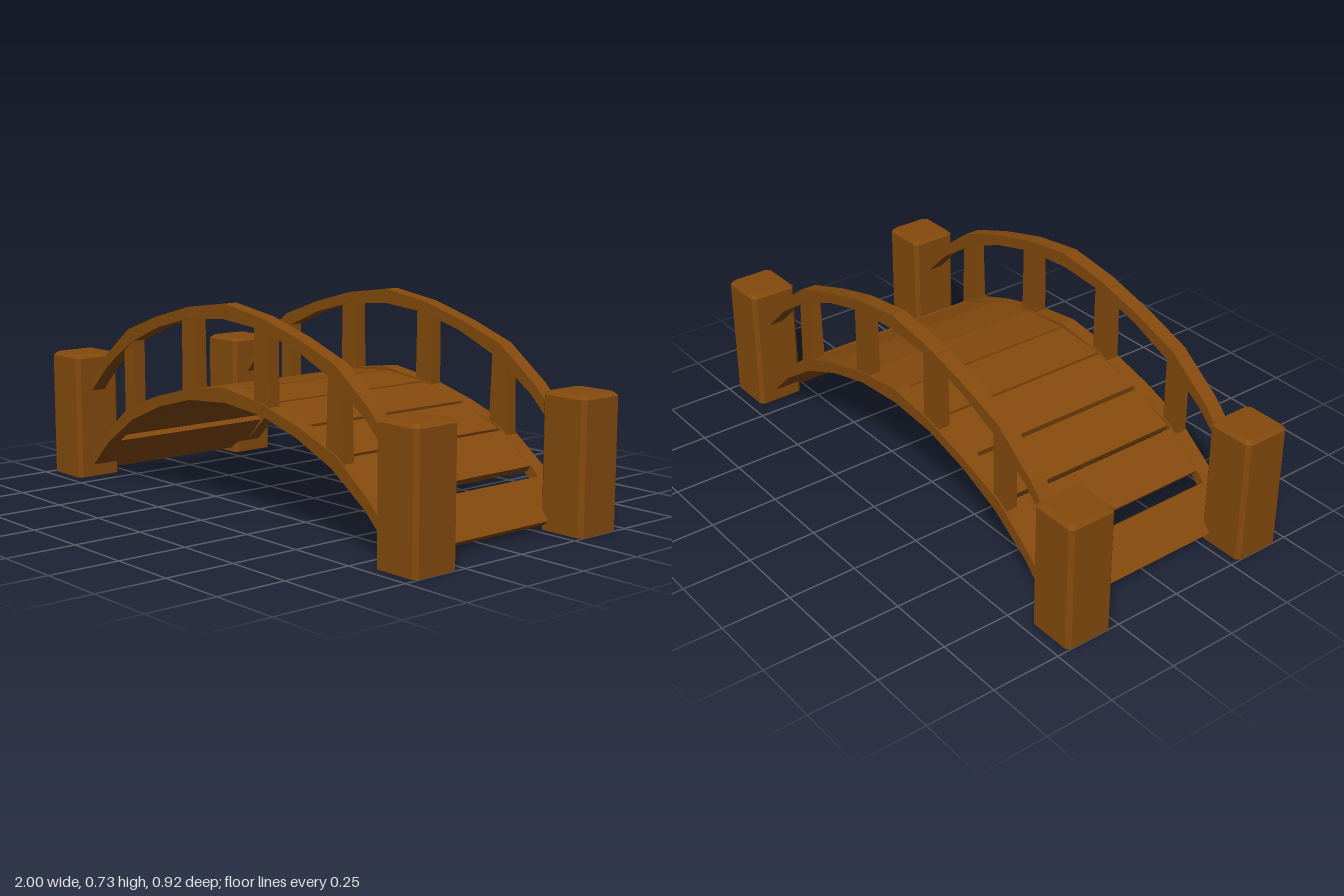
import * as THREE from 'three';
import { ConvexGeometry } from 'three/addons/geometries/ConvexGeometry.js';

const wood = new THREE.MeshStandardMaterial({ color: 0x854a0d });
wood.name = 'brown wood';

// Prism from an x-y outline, spanning z0 to z1
function prism(name, outline, z0, z1) {
  const shape = new THREE.Shape(outline.map(([x, y]) => new THREE.Vector2(x, y)));
  const geo = new THREE.ExtrudeGeometry(shape, { depth: z1 - z0, bevelEnabled: false });
  geo.translate(0, 0, z0);
  const mesh = new THREE.Mesh(geo, wood);
  mesh.name = name;
  return mesh;
}

// Square post with chamfered upright edges and top
function post(x, z) {
  const points = [];
  for (const [y, half] of [[0, 0.09], [0.453, 0.09], [0.465, 0.078]]) {
    const inner = half - 0.014;
    for (const sx of [-1, 1]) for (const sz of [-1, 1]) {
      points.push(new THREE.Vector3(sx * half, y, sz * inner));
      points.push(new THREE.Vector3(sx * inner, y, sz * half));
    }
  }
  const mesh = new THREE.Mesh(new ConvexGeometry(points), wood);
  mesh.name = 'cornerPost';
  mesh.position.set(x, 0, z);
  return mesh;
}

// Mirrored arch outline, from half profiles running outward from the middle
const archTop = [[0, 0.443], [0.2, 0.415], [0.39, 0.364], [0.57, 0.301], [0.73, 0.182], [0.87, 0.035]];
const archBottom = [[0, 0.391], [0.2, 0.375], [0.38, 0.327], [0.555, 0.254], [0.71, 0.15], [0.845, 0.02]];
function archOutline(lift) {
  const full = (half) => [
    ...half.slice(1).reverse().map(([x, y]) => [-x, y + lift]),
    ...half.map(([x, y]) => [x, y + lift]),
  ];
  return [...full(archBottom), ...full(archTop).reverse()];
}

// Baluster: centre x, bottom and top half widths, bottom and top heights
const balusters = [
  [-0.572, 0.033, 0.033, 0.27, 0.56],
  [-0.205, 0.042, 0.038, 0.39, 0.69],
  [0.196, 0.04, 0.036, 0.39, 0.69],
  [0.562, 0.043, 0.032, 0.27, 0.56],
];

// Plank top surface: outer x, y, inner x, y
const planks = [
  [0.862, 0.035, 0.755, 0.158],
  [0.72, 0.188, 0.583, 0.29],
  [0.568, 0.294, 0.403, 0.361],
  [0.388, 0.366, 0.203, 0.41],
  [0.196, 0.413, 0.005, 0.43],
];

export function createModel() {
  const model = new THREE.Group();
  model.name = 'archedBridge';

  for (const side of [-1, 1]) {
    for (const end of [-1, 1]) model.add(post(end * 0.91, side * 0.37));

    // Railing on each side
    const railing = new THREE.Group();
    railing.name = side > 0 ? 'frontRailing' : 'backRailing';
    railing.add(prism('deckBeam', archOutline(0), -0.0275, 0.0275));
    railing.add(prism('handrail', archOutline(0.285), -0.0275, 0.0275));
    for (const [x, b, t, y0, y1] of balusters) {
      railing.add(prism('baluster', [[x - b, y0], [x + b, y0], [x + t, y1], [x - t, y1]], -0.022, 0.022));
    }
    railing.position.z = side * 0.371;
    model.add(railing);
  }

  // Deck planks following the arch
  const thickness = 0.026;
  for (const end of [-1, 1]) {
    for (const [xo, yo, xi, yi] of planks) {
      const length = Math.hypot(xo - xi, yi - yo);
      const nx = (yi - yo) / length * thickness;
      const ny = (xo - xi) / length * thickness;
      const outline = [[xo, yo], [xi, yi], [xi - nx, yi - ny], [xo - nx, yo - ny]];
      model.add(prism('deckPlank', outline.map(([x, y]) => [end * x, y]), -0.35, 0.35));
    }
  }
  return model;
}
